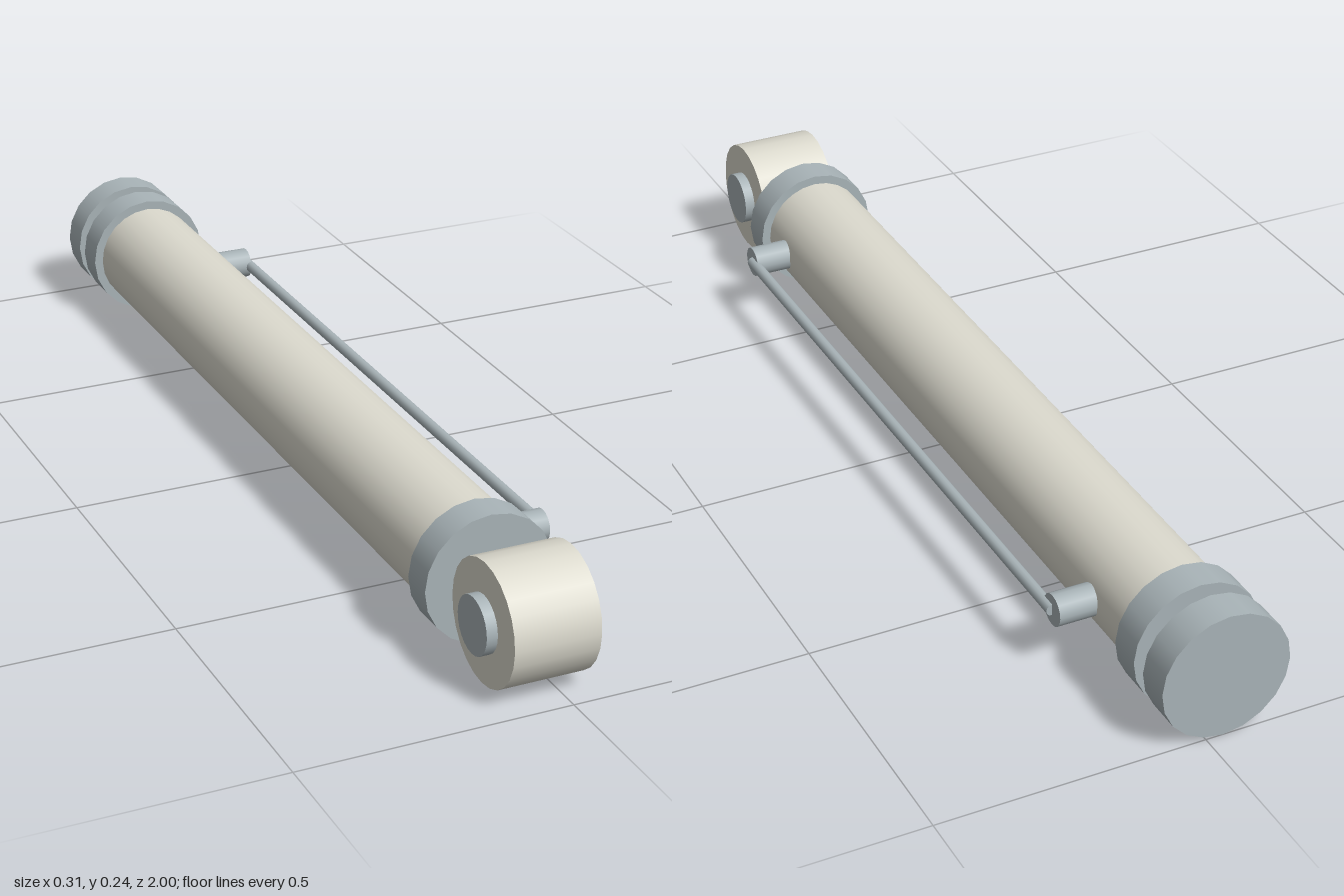
import * as THREE from 'three';

const X = -0.033, Y = 0.122; // main axis of the cylinder

export function createModel() {
  const model = new THREE.Group();
  model.name = 'hydraulicCylinder';
  const paint = new THREE.MeshStandardMaterial({ color: 0xdcdace });
  const steel = new THREE.MeshStandardMaterial({ color: 0xa9b4b8 });

  // closed round bar running from a to b along the x or z axis
  function bar(name, axis, a, b, radius, x, z, sides, material) {
    const geometry = new THREE.CylinderGeometry(radius, radius, b - a, sides);
    if (axis === 'z') geometry.rotateX(Math.PI / 2);
    else geometry.rotateZ(-Math.PI / 2);
    const mesh = new THREE.Mesh(geometry, material);
    mesh.name = name;
    const middle = (a + b) / 2;
    mesh.position.set(axis === 'x' ? middle : x, Y, axis === 'z' ? middle : z);
    model.add(mesh);
  }

  // barrel with its two collars, and the separate end cap behind
  bar('barrel', 'z', -0.85, 0.71, 0.1035, X, 0, 24, paint);
  bar('frontCollar', 'z', 0.694, 0.758, 0.121, X, 0, 20, steel);
  bar('rearCollar', 'z', -0.904, -0.84, 0.121, X, 0, 20, steel);
  bar('endCap', 'z', -1, -0.935, 0.121, X, 0, 20, steel);

  // mounting eye and its cross pin
  bar('mountingEye', 'x', -0.112, 0.047, 0.112, X, 0.888, 24, paint);
  bar('eyePin', 'x', -0.132, 0.067, 0.0525, X, 0.888, 24, steel);

  // side ports joined by a thin oil line
  for (const [name, z] of [['frontPort', 0.618], ['rearPort', -0.714]]) {
    bar(name, 'x', 0.05, 0.141, 0.03, 0, z, 16, steel);
  }
  bar('oilLine', 'z', -0.714, 0.618, 0.011, 0.141, 0, 12, steel);

  return model;
}
